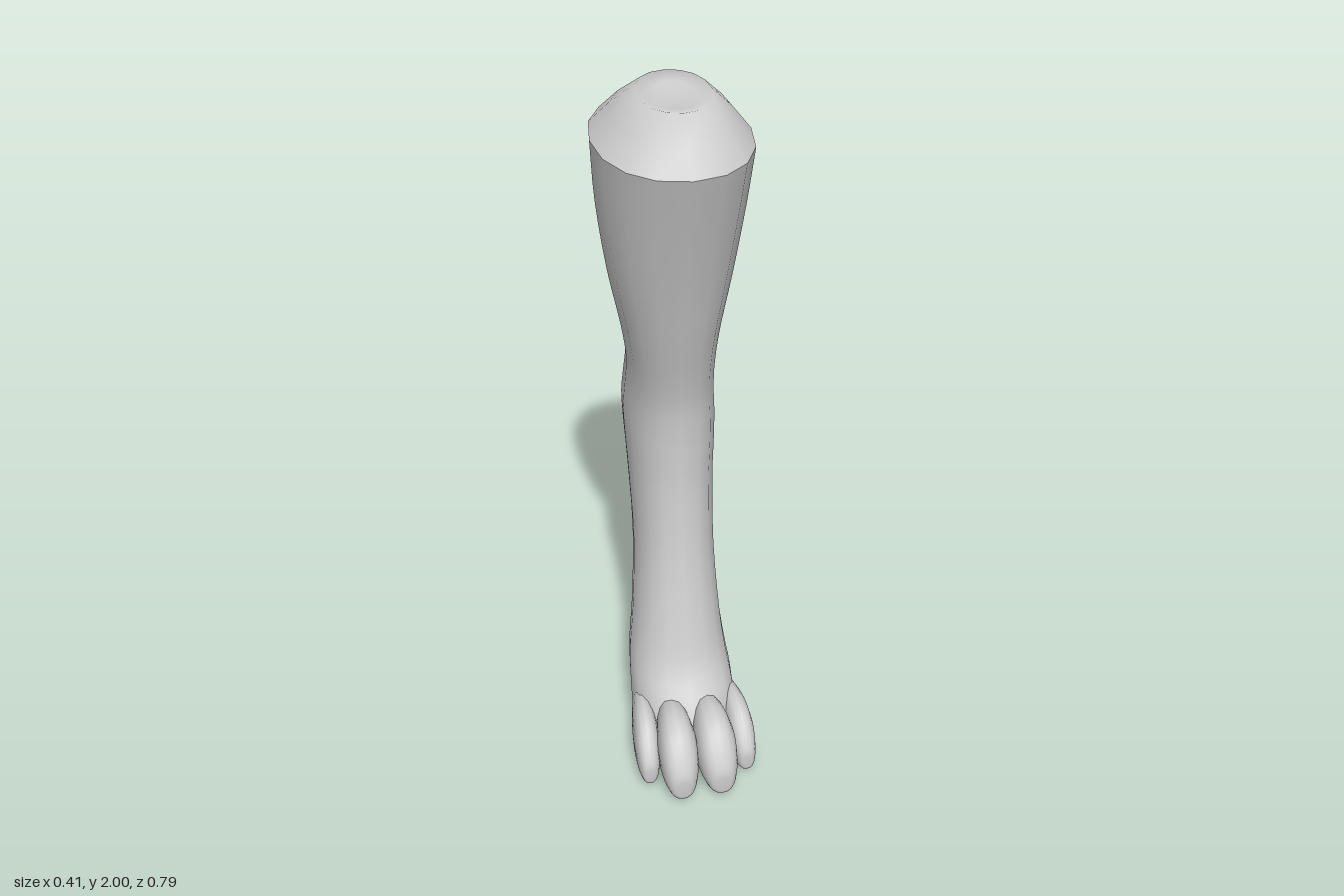
import * as THREE from 'three';

const SIDES = 16;
const material = new THREE.MeshStandardMaterial({ color: 0xcccccc });

// Superellipse outline: unit circle pushed slightly towards a box
function outline(j, n) {
  const a = (j / SIDES) * Math.PI * 2;
  const f = (v) => Math.sign(v) * Math.pow(Math.abs(v), 2 / n);
  return [f(Math.sin(a)), f(Math.cos(a))];
}

// Horizontal ring: front height, back height, front z, back z, right x, left x
function levelRing([yF, yB, zF, zB, x0, x1], n = 2.15) {
  return Array.from({ length: SIDES }, (_, j) => {
    const [s, c] = outline(j, n);
    return new THREE.Vector3(
      (x0 + x1) / 2 + (s * (x1 - x0)) / 2,
      (yF + yB) / 2 + (c * (yF - yB)) / 2,
      (zF + zB) / 2 + (c * (zF - zB)) / 2);
  });
}

// Upright ring across a toe: z, bottom y, top y, centre x, half width
function toeRing([z, y0, y1, cx, hw]) {
  return Array.from({ length: SIDES }, (_, j) => {
    const [s, c] = outline(j, 2.4);
    return new THREE.Vector3(cx - s * hw, (y0 + y1) / 2 + (c * (y1 - y0)) / 2, z);
  });
}

// Skin a stack of rings; steps > 1 smooths each column with a spline
function loft(name, rings, steps, capStart, capEnd) {
  const rows = (rings.length - 1) * steps;
  const pos = [], index = [];
  const columns = rings[0].map((_, j) =>
    new THREE.CatmullRomCurve3(rings.map((r) => r[j]), false, 'catmullrom', 0.5));
  for (let i = 0; i <= rows; i++)
    for (const [j, c] of columns.entries()) {
      const p = steps === 1 ? rings[i][j] : c.getPoint(i / rows);
      pos.push(p.x, p.y, p.z);
    }
  for (let i = 0; i < rows; i++)
    for (let j = 0; j < SIDES; j++) {
      const k = (j + 1) % SIDES;
      const a = i * SIDES + j, b = i * SIDES + k;
      index.push(a, b, b + SIDES, a, b + SIDES, a + SIDES);
    }
  // Close an end with a fan round its middle
  const fan = (row, ring, flip) => {
    const m = ring.reduce((s, p) => s.add(p), new THREE.Vector3()).divideScalar(SIDES);
    const centre = pos.length / 3;
    pos.push(m.x, m.y, m.z);
    for (let j = 0; j < SIDES; j++) {
      const a = row * SIDES + j, b = row * SIDES + ((j + 1) % SIDES);
      index.push(...(flip ? [centre, b, a] : [centre, a, b]));
    }
  };
  if (capStart) fan(0, rings[0], true);
  if (capEnd) fan(rows, rings[rings.length - 1], false);
  const g = new THREE.BufferGeometry();
  g.setAttribute('position', new THREE.Float32BufferAttribute(pos, 3));
  g.setIndex(index);
  g.computeVertexNormals();
  const mesh = new THREE.Mesh(g, material);
  mesh.name = name;
  return mesh;
}

export function createModel() {
  const model = new THREE.Group();
  model.name = 'animalHindLeg';

  // Sole, long metatarsus, hock and shank up to the rim
  const rim = [1.855, 1.89, 0.23, -0.295, -0.205, 0.205];
  const leg = [
    [0.02, 0.02, 0.22, -0.01, -0.1, 0.13],
    [0.04, 0.05, 0.26, -0.06, -0.13, 0.155],
    [0.1, 0.11, 0.27, -0.105, -0.14, 0.165],
    [0.19, 0.2, 0.225, -0.135, -0.14, 0.165],
    [0.28, 0.28, 0.155, -0.16, -0.132, 0.155],
    [0.4, 0.4, 0.11, -0.19, -0.115, 0.143],
    [0.6, 0.6, 0.055, -0.255, -0.098, 0.135],
    [0.8, 0.8, 0.02, -0.325, -0.1, 0.14],
    [0.93, 0.93, 0.01, -0.372, -0.105, 0.148],
    [1.01, 1.01, 0.008, -0.392, -0.106, 0.15],
    [1.1, 1.1, 0.012, -0.355, -0.103, 0.143],
    [1.2, 1.2, 0.032, -0.29, -0.106, 0.138],
    [1.32, 1.32, 0.065, -0.264, -0.125, 0.145],
    [1.5, 1.5, 0.115, -0.264, -0.163, 0.17],
    [1.7, 1.7, 0.178, -0.29, -0.192, 0.193],
    rim,
  ];
  model.add(loft('leg', leg.map((r) => levelRing(r)), 3, true, false));

  // Faceted stump on top, with a slight hollow in the middle
  const stump = [
    rim,
    [1.92, 1.95, 0.17, -0.22, -0.15, 0.155],
    [1.975, 2.0, 0.1, -0.14, -0.09, 0.1],
    [1.965, 1.985, 0.05, -0.1, -0.045, 0.06],
  ];
  model.add(loft('stumpTop', stump.map((r) => levelRing(r)), 1, false, true));

  // Toe shape from back to front: z offset from tip, bottom, top, width share
  const toeProfile = [
    [-0.27, 0.05, 0.19, 0.45], [-0.21, 0.02, 0.215, 0.78],
    [-0.14, 0.015, 0.222, 0.98], [-0.08, 0.012, 0.202, 1],
    [-0.035, 0.012, 0.155, 0.86], [-0.008, 0.018, 0.11, 0.6],
    [0, 0.03, 0.085, 0.33],
  ];
  const toes = [
    ['outerToeRight', -0.133, 0.037, 0.315, 0.9],
    ['innerToeRight', -0.052, 0.056, 0.395, 1.02],
    ['innerToeLeft', 0.064, 0.058, 0.395, 1.02],
    ['outerToeLeft', 0.156, 0.039, 0.315, 0.9],
  ];
  for (const [name, x, hw, tip, tall] of toes) {
    const lean = x - 0.012;
    const rings = toeProfile.map(([dz, y0, y1, w]) =>
      toeRing([tip + dz, y0, y1 * tall, x + lean * dz * 0.4, hw * w]));
    model.add(loft(name, rings, 3, true, true));
  }

  // Low pad under the foot
  const pad = new THREE.Mesh(new THREE.SphereGeometry(1, 20, 12), material);
  pad.name = 'solePad';
  pad.scale.set(0.105, 0.03, 0.12);
  pad.position.set(0.015, 0.03, 0.11);
  model.add(pad);

  return model;
}
